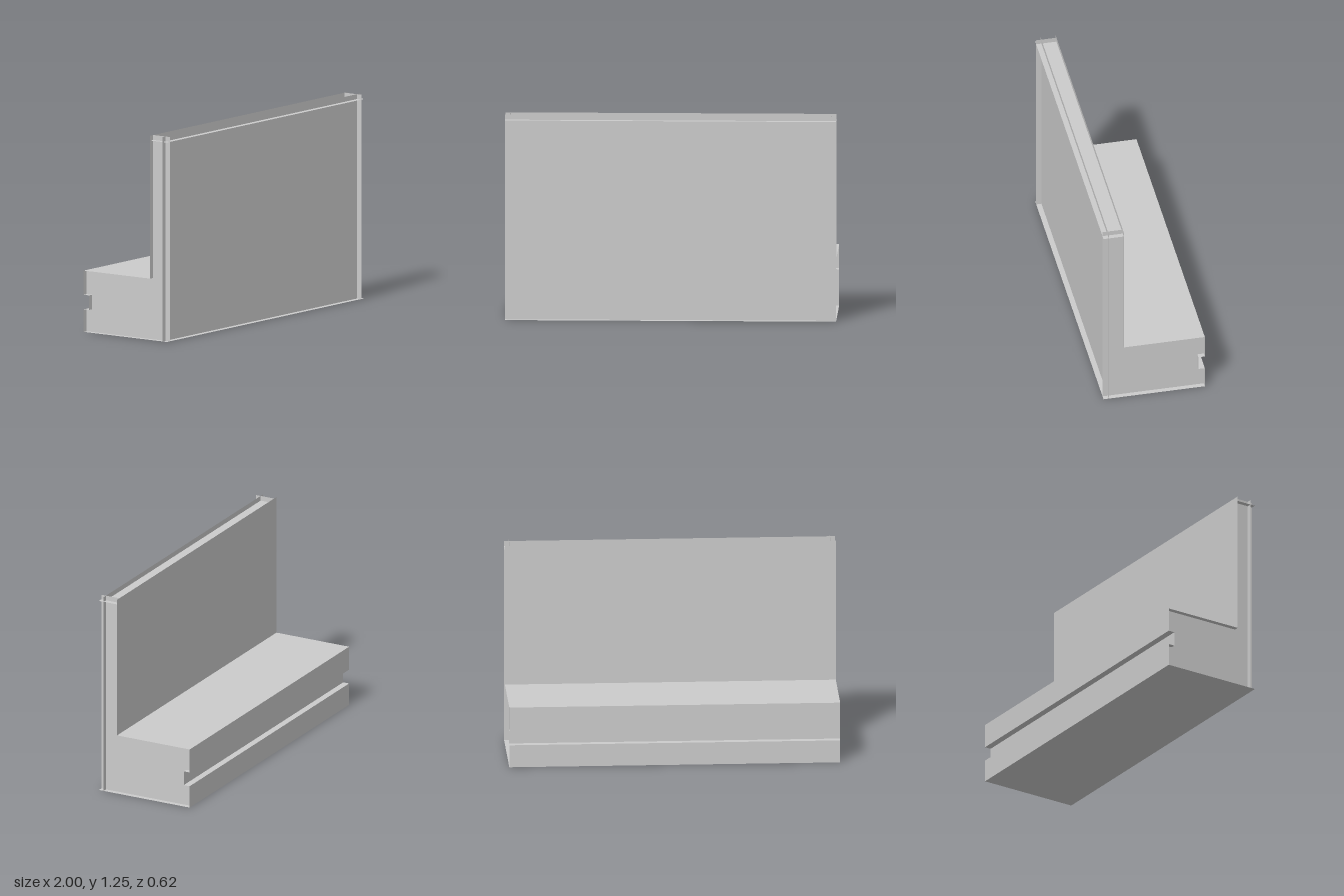
import * as THREE from 'three';

// Main levels of the L-shaped section
const FRONT = 0.3125, BACK = -0.3125, WALL_BACK = 0.1875;
const TOP = 1.25, SEAT = 0.375;
const GROOVE_Z = -0.272, GROOVE_LOW = 0.138, GROOVE_HIGH = 0.227;
const FRONT_PANEL_Z = 0.28, CAP_Y = 1.22, END_X = 0.97;

const material = new THREE.MeshStandardMaterial({ color: 0xcccccc, side: THREE.DoubleSide });

export function createModel() {
  const group = new THREE.Group();

  const add = (name, geometry) => {
    const mesh = new THREE.Mesh(geometry, material);
    mesh.name = name;
    group.add(mesh);
    return mesh;
  };

  // Full-width upright sheet at depth z, facing front (1) or back (-1)
  const upright = (name, z, y0, y1, facing) => {
    const mesh = add(name, new THREE.PlaneGeometry(2, y1 - y0));
    mesh.position.set(0, (y0 + y1) / 2, z);
    if (facing < 0) mesh.rotation.y = Math.PI;
  };

  // Full-width level sheet at height y, facing up (1) or down (-1)
  const level = (name, y, z0, z1, facing) => {
    const mesh = add(name, new THREE.PlaneGeometry(2, z1 - z0));
    mesh.position.set(0, y, (z0 + z1) / 2);
    mesh.rotation.x = -facing * Math.PI / 2;
  };

  // Upright wall: sheets run past one another at the edges
  upright('frontPanel', FRONT_PANEL_Z, 0, TOP, 1);
  upright('wallBackPanel', WALL_BACK, SEAT, TOP, -1);
  level('wallCap', CAP_Y, WALL_BACK, FRONT, 1);

  // Bench
  level('benchTop', SEAT, BACK, WALL_BACK, 1);
  level('base', 0, BACK, FRONT, -1);
  upright('benchBackLower', BACK, 0, GROOVE_LOW, -1);
  upright('benchBackUpper', BACK, GROOVE_HIGH, SEAT, -1);

  // Groove along the bench back
  upright('grooveBack', GROOVE_Z, GROOVE_LOW, GROOVE_HIGH, -1);
  level('grooveFloor', GROOVE_LOW, BACK, GROOVE_Z, 1);
  level('grooveCeiling', GROOVE_HIGH, BACK, GROOVE_Z, -1);

  // Inset end panels with the notched L outline, drawn as (z, y)
  const outline = [
    [FRONT, 0], [FRONT, TOP], [WALL_BACK, TOP], [WALL_BACK, SEAT], [BACK, SEAT],
    [BACK, GROOVE_HIGH], [GROOVE_Z, GROOVE_HIGH], [GROOVE_Z, GROOVE_LOW],
    [BACK, GROOVE_LOW], [BACK, 0],
  ];
  for (const side of [1, -1]) {
    // Turning the shape sideways sends its x axis to -z or +z
    const shape = new THREE.Shape(outline.map(([z, y]) => new THREE.Vector2(-side * z, y)));
    const mesh = add(side > 0 ? 'leftEndPanel' : 'rightEndPanel', new THREE.ShapeGeometry(shape));
    mesh.rotation.y = side * Math.PI / 2;
    mesh.position.x = side * END_X;
  }

  return group;
}
